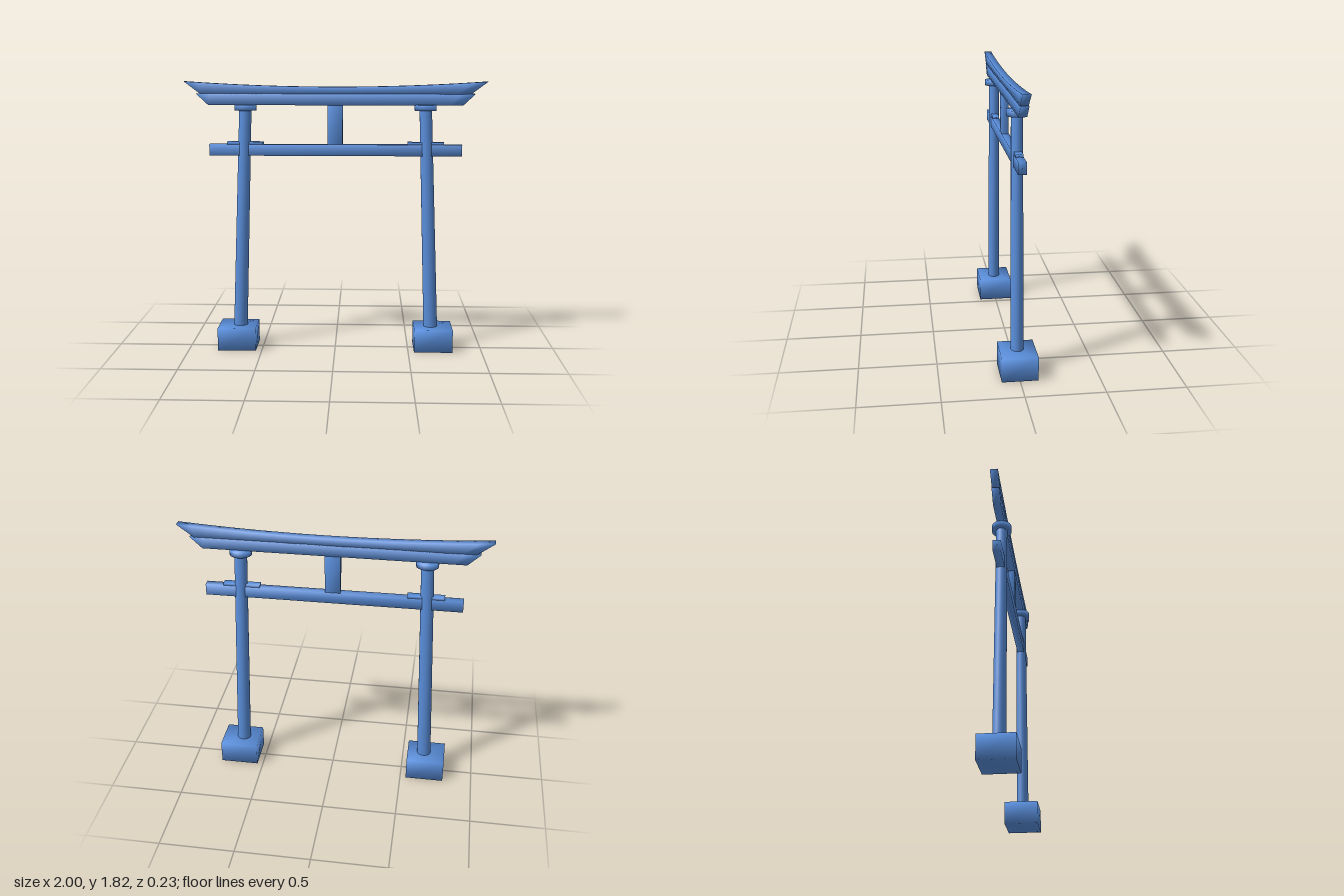
import * as THREE from 'three';
import { mergeVertices } from 'three/addons/utils/BufferGeometryUtils.js';

const blue = new THREE.MeshStandardMaterial({ color: 0x5a8fdc });

// Weld all corners so that shading runs smoothly across every edge
function smooth(geometry) {
  geometry.deleteAttribute('uv');
  geometry.deleteAttribute('normal');
  const welded = mergeVertices(geometry, 1e-4);
  welded.computeVertexNormals();
  return welded;
}

function add(parent, name, geometry) {
  const mesh = new THREE.Mesh(smooth(geometry), blue);
  mesh.name = name;
  parent.add(mesh);
  return mesh;
}

// Box given by its centre x, bottom, top, width and depth
function block(parent, name, x, y0, y1, width, depth) {
  const geometry = new THREE.BoxGeometry(width, y1 - y0, depth);
  geometry.translate(x, (y0 + y1) / 2, 0);
  return add(parent, name, geometry);
}

// Elliptical column whose centre and radii change from bottom to top
function column(parent, name, bottom, top) {
  const geometry = new THREE.CylinderGeometry(1, 1, 1, 24, 1);
  const p = geometry.attributes.position;
  for (let i = 0; i < p.count; i++) {
    const end = p.getY(i) > 0 ? top : bottom;
    p.setXYZ(i, end.x + p.getX(i) * end.rx, end.y, p.getZ(i) * end.rz);
  }
  return add(parent, name, geometry);
}

// Lintel with slanted ends and a top edge that sweeps up by 'lift' at the tips
function lintel(parent, name, y0, y1, half0, half1, depth, lift) {
  const geometry = new THREE.BoxGeometry(2, 1, depth, 20, 1, 1);
  const p = geometry.attributes.position;
  for (let i = 0; i < p.count; i++) {
    const u = p.getX(i);
    const upper = p.getY(i) > 0;
    p.setX(i, u * (upper ? half1 : half0));
    p.setY(i, upper ? y1 + lift * u * u : y0);
  }
  return add(parent, name, geometry);
}

export function createModel() {
  const gate = new THREE.Group();
  gate.name = 'gate';

  // Leaning pillars with footings, caps and wedges
  for (const [side, s] of [['left', 1], ['right', -1]]) {
    const post = new THREE.Group();
    post.name = side + 'Post';
    gate.add(post);
    block(post, side + 'Footing', s * 0.67, 0, 0.155, 0.26, 0.23);
    column(post, side + 'Pillar',
      { x: s * 0.655, y: 0.15, rx: 0.047, rz: 0.041 },
      { x: s * 0.597, y: 1.64, rx: 0.041, rz: 0.036 });
    column(post, side + 'PillarCap',
      { x: s * 0.596, y: 1.63, rx: 0.072, rz: 0.064 },
      { x: s * 0.596, y: 1.667, rx: 0.072, rz: 0.064 });
    block(post, side + 'Wedge', s * 0.6, 1.4, 1.422, 0.24, 0.046);
  }

  // Lower tie beam and centre strut
  block(gate, 'tieBeam', 0, 1.33, 1.405, 1.68, 0.05);
  block(gate, 'centreStrut', 0, 1.4, 1.668, 0.1, 0.044);

  // Stacked top lintels
  lintel(gate, 'lowerLintel', 1.665, 1.74, 0.84, 0.92, 0.05, 0);
  lintel(gate, 'upperLintel', 1.738, 1.785, 0.89, 1, 0.05, 0.035);

  return gate;
}
